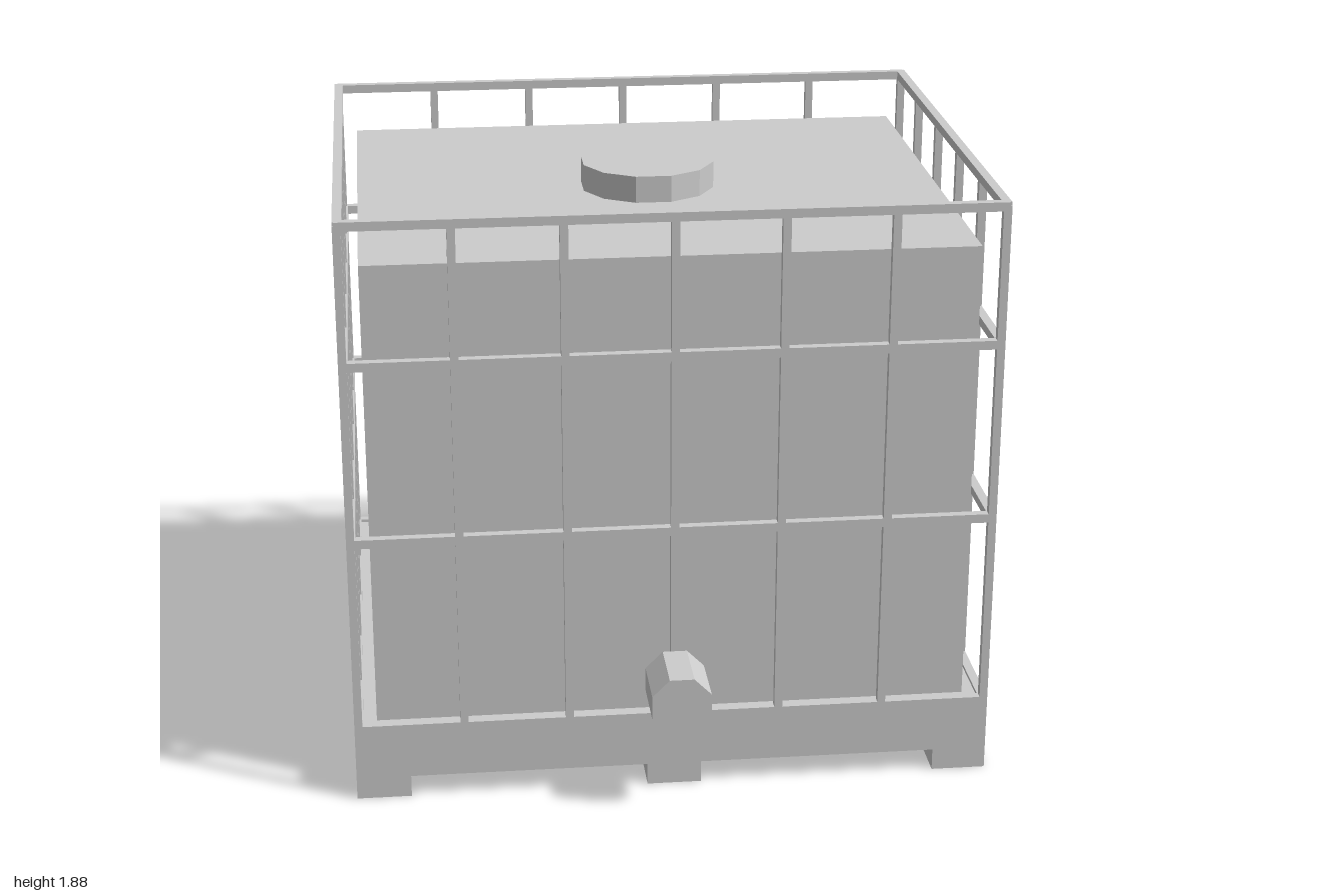
import * as THREE from 'three';

export function createModel() {
  const model = new THREE.Group();
  const material = new THREE.MeshStandardMaterial({ color: 0xcccccc, flatShading: true });
  const midZ = -0.1; // centre of the body, behind the tap
  const halfX = 1, halfZ = 0.83;

  function add(name, geometry, x, y, z, parent = model) {
    const mesh = new THREE.Mesh(geometry, material);
    mesh.name = name;
    mesh.position.set(x, y, z);
    parent.add(mesh);
    return mesh;
  }

  // Pallet: one profile with three runners, extruded front to back
  const profile = new THREE.Shape([
    [-1, 0], [-0.83, 0], [-0.83, 0.07], [-0.085, 0.07], [-0.085, 0], [0.085, 0],
    [0.085, 0.07], [0.83, 0.07], [0.83, 0], [1, 0], [1, 0.24], [-1, 0.24],
  ].map(([x, y]) => new THREE.Vector2(x, y)));
  add('pallet', new THREE.ExtrudeGeometry(profile, { depth: 2 * halfZ, bevelEnabled: false }),
    0, 0, midZ - halfZ);

  // Tank with its filler cap and outlet tap
  add('tank', new THREE.BoxGeometry(1.86, 1.49, 1.54), 0, 0.985, midZ);
  const cap = new THREE.CylinderGeometry(0.216, 0.216, 0.085, 12);
  cap.rotateY(Math.PI / 12);
  add('fillerCap', cap, 0, 1.7725, midZ);
  const tap = new THREE.CylinderGeometry(0.099, 0.099, 0.2, 8);
  tap.rotateY(Math.PI / 8).rotateX(Math.PI / 2);
  add('outletTap', tap, 0, 0.37, 0.83);

  // Cage of upright bars and horizontal rails
  const cage = new THREE.Group();
  cage.name = 'cage';
  model.add(cage);
  const bar = 0.025, rail = 0.028;
  const barX = halfX - bar / 2, barZ = halfZ - bar / 2;
  const bottom = 0.24, top = 1.87;
  const upright = new THREE.BoxGeometry(bar, top - bottom, bar);
  const addUpright = (x, z) => add('uprightBar', upright, x, (top + bottom) / 2, midZ + z, cage);

  for (const side of [-1, 1]) {
    // Front and back, corners included
    for (let i = 0; i <= 6; i++) addUpright(barX * (i / 3 - 1), side * barZ);
    // Left and right, between the corners
    for (let i = 1; i <= 4; i++) addUpright(side * barX, barZ * (i / 2.5 - 1));

    for (const y of [0.236, 0.867, 1.435, 1.868]) {
      add('longRail', new THREE.BoxGeometry(2 * halfX - 0.01, rail, rail),
        0, y, midZ + side * (halfZ - rail / 2), cage);
      add('sideRail', new THREE.BoxGeometry(rail, rail, 2 * halfZ - 0.01),
        side * (halfX - rail / 2), y, midZ, cage);
    }
  }
  return model;
}
